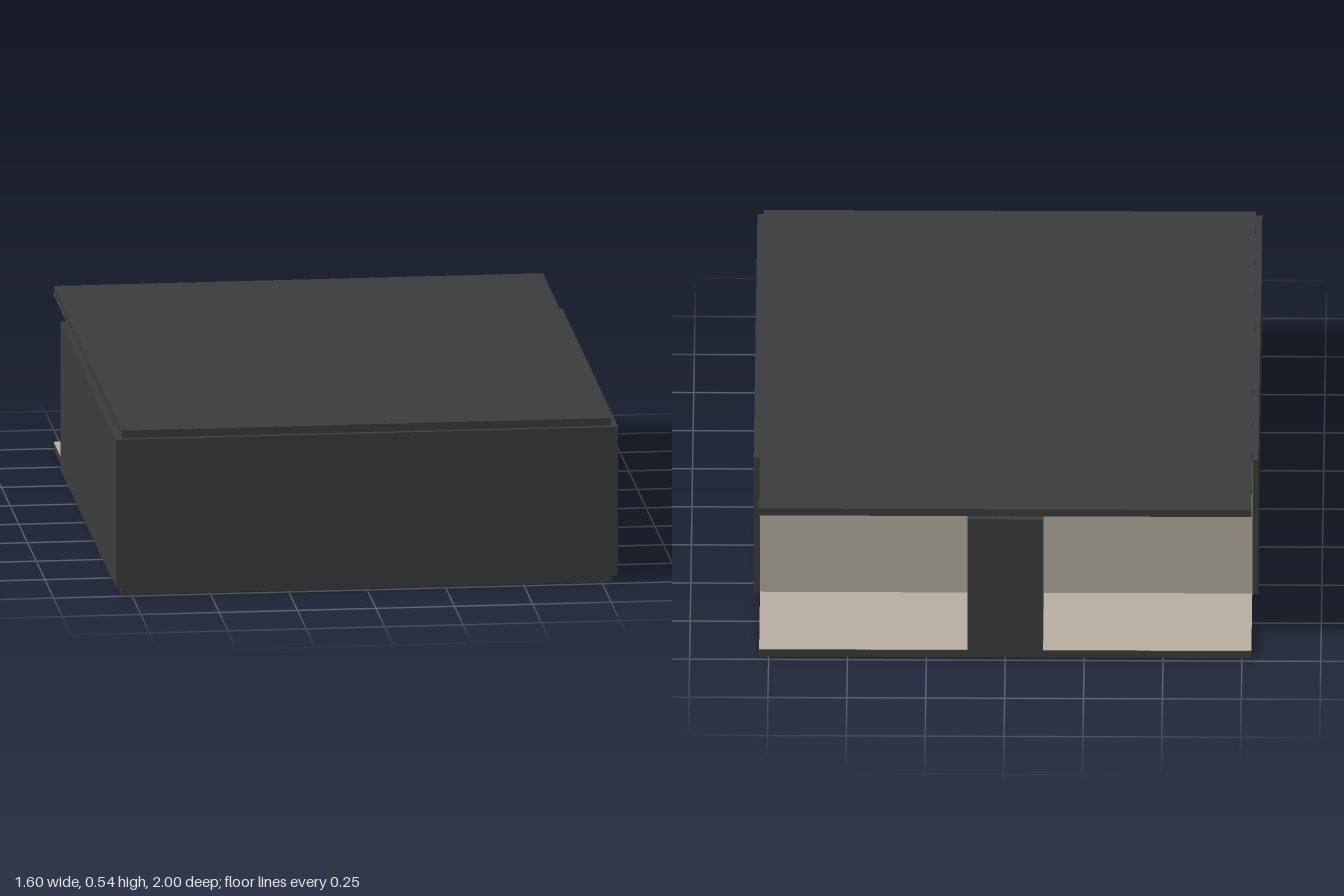
import * as THREE from 'three';

export function createModel() {
  const model = new THREE.Group();
  const dark = new THREE.MeshStandardMaterial({ color: 0x3c3d3e });
  const cream = new THREE.MeshStandardMaterial({ color: 0xb8b0a2 });

  const H = 0.535;      // overall height
  const T = 0.025;      // cover plate thickness
  const W = 0.78;       // half width of the core and plates
  const D = 0.98;       // half depth of the core and plates
  const S = 0.02;       // cladding thickness
  const NECK = 0.12;    // half width of the rear divider
  const BAY = -0.605;   // z of the bay back walls

  // Box given by its extents on each axis
  const box = (name, x0, x1, y0, y1, z0, z1, material) => {
    const mesh = new THREE.Mesh(new THREE.BoxGeometry(x1 - x0, y1 - y0, z1 - z0), material);
    mesh.position.set((x0 + x1) / 2, (y0 + y1) / 2, (z0 + z1) / 2);
    mesh.name = name;
    model.add(mesh);
  };

  // T-shaped core: wide body with a narrow divider between two open rear bays
  const plan = new THREE.Shape([
    [-W, -D], [W, -D], [W, -BAY], [NECK, -BAY],
    [NECK, D], [-NECK, D], [-NECK, -BAY], [-W, -BAY],
  ].map(([x, y]) => new THREE.Vector2(x, y)));
  const coreGeometry = new THREE.ExtrudeGeometry(plan, { depth: H - 2 * T, bevelEnabled: false });
  coreGeometry.rotateX(-Math.PI / 2);
  const core = new THREE.Mesh(coreGeometry, cream);
  core.position.y = T;
  core.name = 'core';
  model.add(core);

  // Cover plates
  box('bottomPlate', -W, W, 0, T, -D, D, dark);
  box('topPlate', -W, W, H - T, H, -D, D, dark);

  // Outer cladding on the front, the sides and the end of the divider
  box('frontPanel', -W - S, W + S, T, H - T, D, D + S, dark);
  box('dividerEndPanel', -NECK, NECK, T, H - T, -D - S, -D, dark);
  for (const [side, name] of [[1, 'left'], [-1, 'right']]) {
    const [x0, x1] = side > 0 ? [W, W + S] : [-W - S, -W];
    box(name + 'SidePanel', x0, x1, T, H - T, BAY, D, dark);

    // Pale lining on the floor and ceiling of each bay
    const [b0, b1] = side > 0 ? [NECK, W] : [-W, -NECK];
    box(name + 'BayFloor', b0, b1, T, T + 0.002, -D, BAY, cream);
    box(name + 'BayCeiling', b0, b1, H - T - 0.002, H - T, -D, BAY, cream);
  }

  return model;
}
